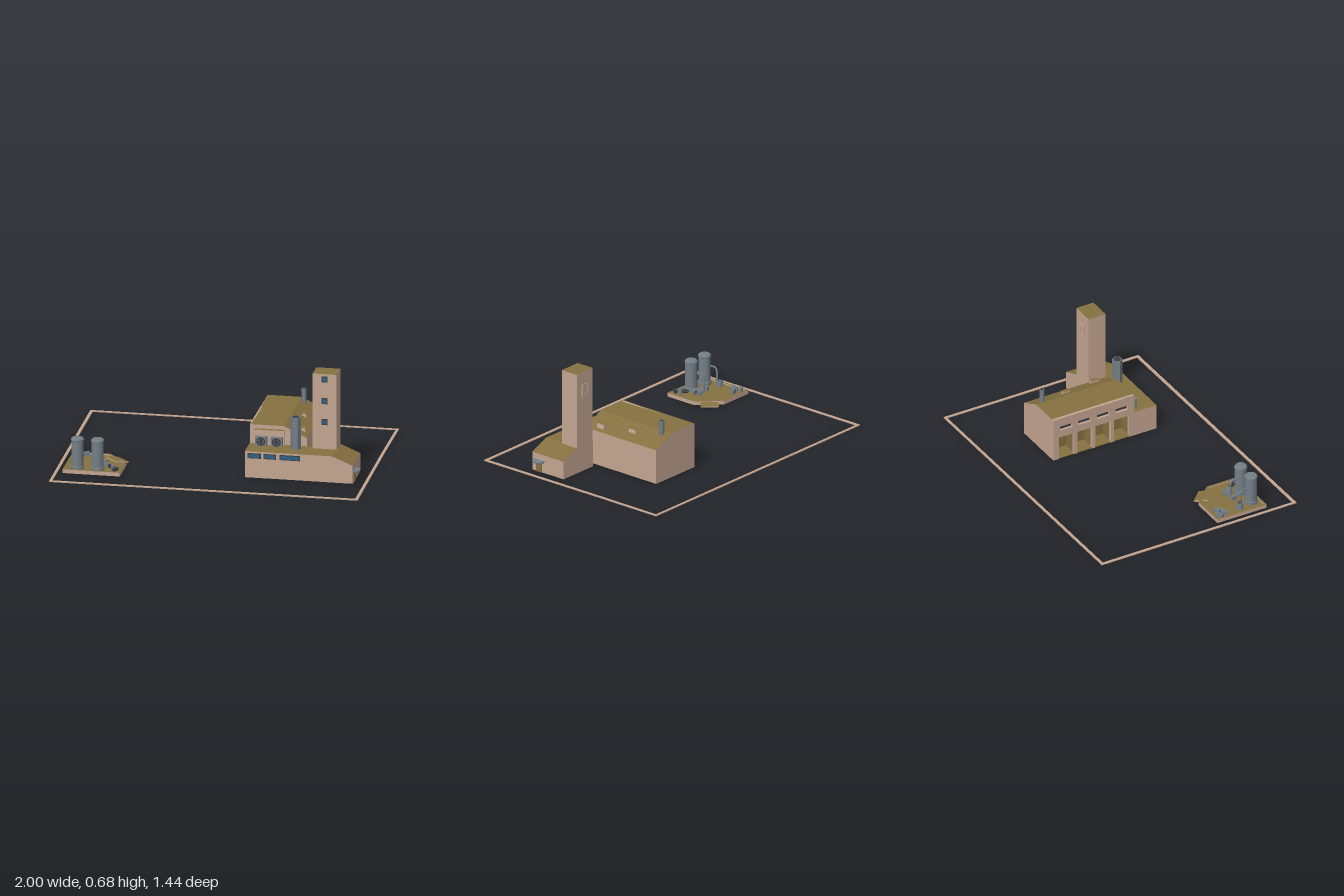
import * as THREE from 'three';

const mat = (color) => new THREE.MeshStandardMaterial({ color, side: THREE.DoubleSide, flatShading: true });
const WALL = mat(0xc4a590), ROOF = mat(0x857040), METAL = mat(0x737f86), GLASS = mat(0x2f6186), DARK = mat(0x3a4046);

function add(parent, name, geo, material, x = 0, y = 0, z = 0) {
  const m = new THREE.Mesh(geo, material);
  m.name = name;
  m.position.set(x, y, z);
  parent.add(m);
  return m;
}

// box given by its min and max corners
function slab(parent, name, material, x0, x1, y0, y1, z0, z1) {
  return add(parent, name, new THREE.BoxGeometry(x1 - x0, y1 - y0, z1 - z0), material,
    (x0 + x1) / 2, (y0 + y1) / 2, (z0 + z1) / 2);
}

const shapeOf = (pts) => new THREE.Shape(pts.map((p) => new THREE.Vector2(p[0], p[1])));
const extrude = (shape, depth) => new THREE.ExtrudeGeometry(shape, { depth, bevelEnabled: false });

// open-bottomed building shell: faces pointing up become roof, the others walls
function shell(parent, name, geo, skip = () => false) {
  const g = geo.index ? geo.toNonIndexed() : geo;
  const p = g.attributes.position, parts = { Walls: [], Roof: [] };
  const v = [0, 1, 2].map(() => new THREE.Vector3()), n = new THREE.Vector3();
  for (let i = 0; i < p.count; i += 3) {
    v.forEach((q, k) => q.fromBufferAttribute(p, i + k));
    new THREE.Triangle(...v).getNormal(n);
    if (n.y < -0.5 || skip(n)) continue;
    v.forEach((q) => parts[n.y > 0.2 ? 'Roof' : 'Walls'].push(q.x, q.y, q.z));
  }
  for (const key in parts) {
    const b = new THREE.BufferGeometry();
    b.setAttribute('position', new THREE.Float32BufferAttribute(parts[key], 3));
    b.computeVertexNormals();
    add(parent, name + key, b, key === 'Roof' ? ROOF : WALL);
  }
}
const prism = (pts, z0, z1) => extrude(shapeOf(pts), z1 - z0).translate(0, 0, z0);

// square window with a raised frame, facing +z
function windowFront(parent, x, y, z, w, h) {
  slab(parent, 'windowFrame', DARK, x - w / 2, x + w / 2, y - h / 2, y + h / 2, z - 0.004, z + 0.002);
  slab(parent, 'windowGlass', GLASS, x - w / 2 + 0.006, x + w / 2 - 0.006, y - h / 2 + 0.006, y + h / 2 - 0.006, z, z + 0.004);
}

function buildGarage() {
  const g = new THREE.Group();
  g.name = 'garage';
  shell(g, 'garage', prism([[0.21, 0], [0.58, 0], [0.58, 0.23], [0.43, 0.3], [0.21, 0.3]], -0.37, 0.22), (n) => n.x < -0.9);

  // bay wall: notches for the bays, holes for the slit windows
  const bays = [0, 1, 2, 3].map((i) => -0.33 + i * 0.135);
  const outline = [[-0.37, 0]];
  bays.forEach((z) => outline.push([z, 0], [z, 0.16], [z + 0.11, 0.16], [z + 0.11, 0]));
  outline.push([0.22, 0], [0.22, 0.3], [-0.37, 0.3]);
  const wall = shapeOf(outline);
  bays.forEach((z) => wall.holes.push(new THREE.Path([[0.01, 0.21], [0.01, 0.24], [0.1, 0.24], [0.1, 0.21]]
    .map(([a, b]) => new THREE.Vector2(z + a, b)))));
  add(g, 'bayWall', extrude(wall, 0.02).rotateY(-Math.PI / 2), WALL, 0.23);
  slab(g, 'bayBack', ROOF, 0.32, 0.325, 0, 0.2, -0.36, 0.21);
  slab(g, 'bayFloor', ROOF, 0.212, 0.32, 0, 0.005, -0.36, 0.21);
  slab(g, 'slitBacking', DARK, 0.228, 0.232, 0.2, 0.25, -0.36, 0.21);
  for (let i = 0; i < 5; i++) slab(g, 'bayPartition', ROOF, 0.23, 0.32, 0, 0.17, -0.35 + i * 0.135, -0.34 + i * 0.135);

  // small hoods on the sloping roof
  [[0.5, 0.285, -0.14], [0.54, 0.271, 0.09]].forEach(([x, y, z]) =>
    shell(g, 'roofHood', prism([[x - 0.015, y - 0.02], [x, y - 0.04], [x + 0.018, y - 0.04], [x + 0.012, y], [x - 0.015, y]], z, z + 0.055)));
  return g;
}

function buildFront() {
  const g = new THREE.Group();
  g.name = 'frontBuilding';
  shell(g, 'frontBlock', prism([[0.21, 0], [0.62, 0], [0.62, 0.175], [0.21, 0.175]], 0.22, 0.385));
  shell(g, 'sideWing', prism([[0.62, 0], [0.905, 0], [0.905, 0.12], [0.77, 0.175], [0.62, 0.175]], 0.125, 0.385));
  shell(g, 'upperBlock', new THREE.BoxGeometry(0.19, 0.1, 0.03).translate(0.34, 0.225, 0.23));
  [[0.27, 0.085], [0.372, 0.08], [0.5, 0.13]].forEach(([x, w]) => windowFront(g, x, 0.146, 0.385, w, 0.034));

  // roof fans
  for (const x of [0.29, 0.39]) {
    const fan = new THREE.Group();
    fan.name = 'roofFan';
    fan.position.set(x, 0.205, 0.255);
    add(fan, 'fanHousing', new THREE.BoxGeometry(0.075, 0.06, 0.025), METAL);
    add(fan, 'fanRing', new THREE.TorusGeometry(0.025, 0.004, 4, 12), DARK, 0, 0, 0.014);
    for (let k = 0; k < 4; k++)
      add(fan, 'fanBlade', new THREE.BoxGeometry(0.045, 0.006, 0.004), DARK, 0, 0, 0.014).rotation.z = k * Math.PI / 4;
    g.add(fan);
  }

  // side door and canopy
  slab(g, 'sideDoor', ROOF, 0.9, 0.911, 0, 0.068, 0.303, 0.351);
  const canopy = shapeOf([[0, -0.04], [0.03, -0.04], [0.04, -0.02], [0.04, 0.02], [0.03, 0.04], [0, 0.04]]);
  add(g, 'doorCanopy', extrude(canopy, 0.01).rotateX(-Math.PI / 2), METAL, 0.9, 0.072, 0.325).rotation.z = -0.2;
  return g;
}

function buildTower() {
  const g = new THREE.Group();
  g.name = 'tower';
  shell(g, 'tower', new THREE.BoxGeometry(0.155, 0.675, 0.125).translate(0.698, 0.3375, 0.1875));
  [0.355, 0.495, 0.64].forEach((y) => windowFront(g, 0.698, y, 0.25, 0.036, 0.04));
  // framed opening at the back
  const frame = shapeOf([[-0.03, -0.042], [0.03, -0.042], [0.03, 0.042], [-0.03, 0.042]]);
  frame.holes.push(new THREE.Path([[-0.02, -0.032], [-0.02, 0.032], [0.02, 0.032], [0.02, -0.032]].map((p) => new THREE.Vector2(...p))));
  add(g, 'backWindowFrame', extrude(frame, 0.006), WALL, 0.698, 0.55, 0.12);
  slab(g, 'backWindowPanel', WALL, 0.678, 0.718, 0.518, 0.582, 0.123, 0.126);
  return g;
}

function chimney(parent, x, z, r, y0, y1) {
  const c = add(parent, 'chimney', new THREE.CylinderGeometry(r, r, y1 - y0, 6), METAL, x, (y0 + y1) / 2, z);
  c.rotation.y = Math.PI / 6;
  add(parent, 'chimneyMouth', new THREE.CylinderGeometry(r * 0.75, r * 0.75, 0.004, 6), DARK, x, y1, z).rotation.y = Math.PI / 6;
}

function buildPad() {
  const g = new THREE.Group();
  g.name = 'tankPad';
  const pts = [[-0.94, 0.165], [-0.7, 0.165], [-0.57, 0.3], [-0.57, 0.525], [-0.94, 0.525]];
  const cx = -0.765, cz = 0.36;
  const rim = shapeOf(pts.map(([x, z]) => [x, -z]));
  rim.holes.push(new THREE.Path(pts.map(([x, z]) => new THREE.Vector2(cx + (x - cx) * 0.93, -(cz + (z - cz) * 0.93)))));
  shell(g, 'padRim', extrude(rim, 0.025).rotateX(-Math.PI / 2));
  add(g, 'padFloor', extrude(shapeOf(pts.map(([x, z]) => [x, -z])), 0.012).rotateX(-Math.PI / 2).scale(0.995, 1, 0.995), ROOF, -0.004, 0.005, 0.002);
  // ramp leaving the cut corner
  const ramp = prism([[-0.04, 0], [0.055, 0], [0.055, 0.006], [-0.01, 0.026], [-0.04, 0.026]], -0.057, 0.057)
    .rotateY(Math.PI / 4).translate(-0.645, 0, 0.24);
  shell(g, 'ramp', ramp);

  // storage tanks
  const profile = [[0, 0.015], [0.043, 0.015], [0.043, 0.035], [0.039, 0.038], [0.039, 0.205], [0.042, 0.207], [0.042, 0.213], [0.035, 0.222], [0, 0.225]]
    .map((p) => new THREE.Vector2(...p));
  for (const x of [-0.855, -0.725]) {
    add(g, 'tank', new THREE.LatheGeometry(profile, 16), METAL, x, 0, 0.46);
    const pipe = new THREE.CatmullRomCurve3([[0, 0.14, 0.43], [0, 0.14, 0.385], [0, 0.12, 0.375], [0, 0.02, 0.375]].map((p) => new THREE.Vector3(...p)));
    add(g, 'tankPipe', new THREE.TubeGeometry(pipe, 12, 0.006, 6), METAL, x - 0.02, 0, 0);
  }
  add(g, 'pump', new THREE.CylinderGeometry(0.02, 0.024, 0.045, 8), METAL, -0.885, 0.035, 0.36);
  add(g, 'valve', new THREE.TorusGeometry(0.012, 0.003, 4, 10).rotateX(Math.PI / 2), DARK, -0.885, 0.062, 0.36);

  // loose crates: x, z, length, turn
  [[-0.905, 0.2, 0.05, 0.5], [-0.88, 0.235, 0.045, -0.4], [-0.85, 0.215, 0.05, 0.4], [-0.9, 0.25, 0.035, 1.1],
    [-0.725, 0.37, 0.045, 0.9], [-0.695, 0.365, 0.045, 1.1], [-0.69, 0.395, 0.05, 0.1], [-0.775, 0.38, 0.035, 1.57]]
    .forEach(([x, z, l, a]) => { add(g, 'crate', new THREE.BoxGeometry(l, 0.03, 0.018), METAL, x, 0.03, z).rotation.y = a; });
  // lying and standing barrels
  [[-0.645, 0.44], [-0.625, 0.465], [-0.605, 0.49]].forEach(([x, z], i) => {
    const b = add(g, 'barrel', new THREE.CylinderGeometry(0.013, 0.013, 0.036, 8), i === 1 ? METAL : DARK, x, 0.036, z);
    if (i !== 1) b.rotation.set(Math.PI / 2, 0, 0.6 * (i - 1));
  });
  return g;
}

export function createModel() {
  const model = new THREE.Group();
  model.name = 'industrialYard';

  // low boundary kerb
  const kerb = shapeOf([[-1, 0.715], [0.99, 0.723], [0.99, 0.26], [1, -0.708], [-0.99, -0.715]]);
  kerb.holes.push(new THREE.Path([[-0.98, 0.697], [0.972, 0.706], [0.972, 0.26], [0.98, -0.688], [-0.972, -0.695]].map((p) => new THREE.Vector2(...p))));
  add(model, 'boundaryKerb', extrude(kerb, 0.006).rotateX(-Math.PI / 2), WALL);

  model.add(buildGarage(), buildFront(), buildTower(), buildPad());
  chimney(model, 0.457, -0.31, 0.017, 0.26, 0.38);
  chimney(model, 0.517, 0.275, 0.033, 0.17, 0.385);
  return model;
}
